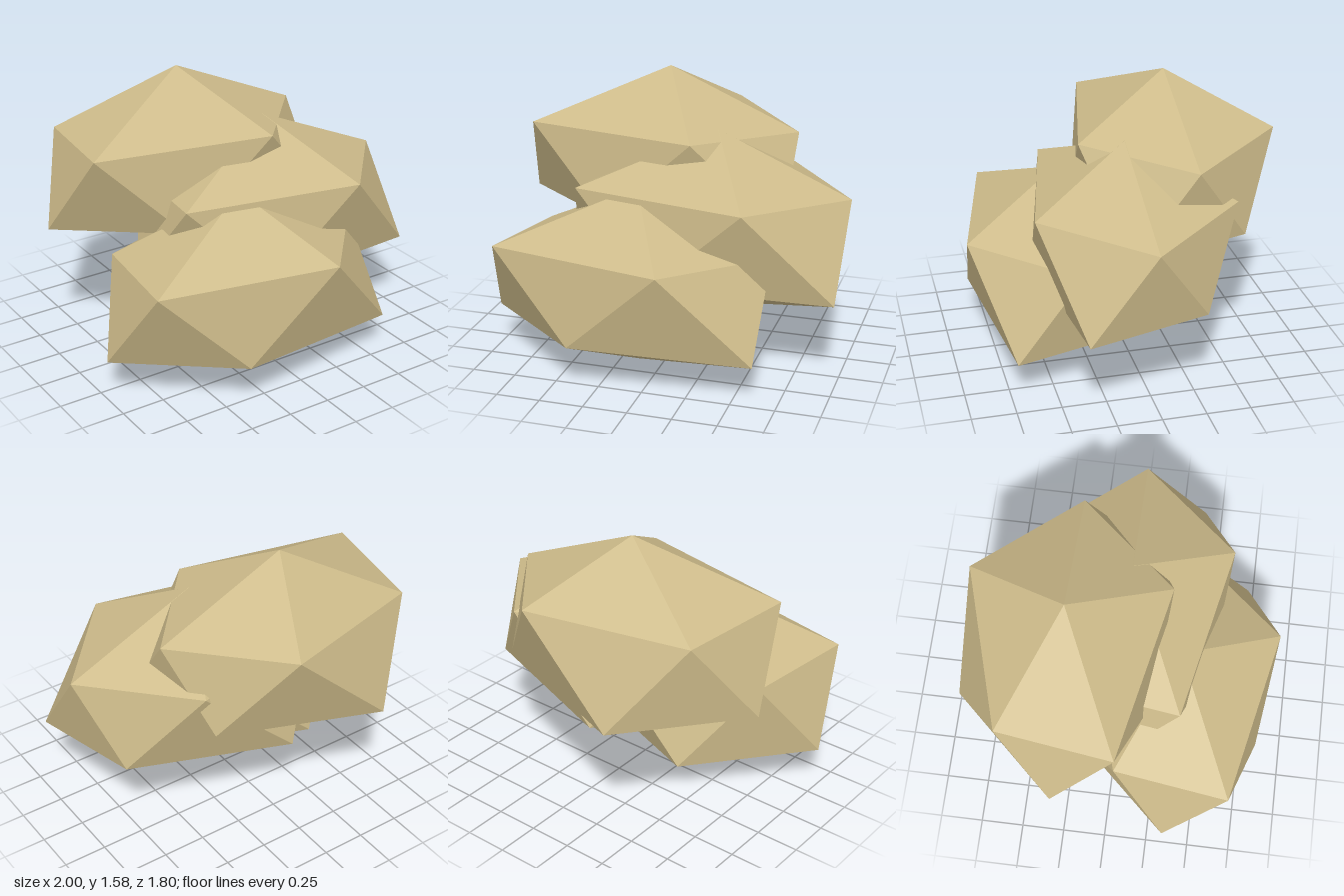
import * as THREE from 'three';

// One faceted boulder: two poles and two staggered rings of five corners.
function boulderGeometry() {
  const top = [0, 0.525, 0];
  const bottom = [0, -0.52, 0];
  const upper = [
    [0.77, 0.185, 0], [0.28, 0.22, 0.56], [-0.73, 0.22, 0.35],
    [-0.63, 0.185, -0.31], [0.28, 0.22, -0.575],
  ];
  const lower = [
    [0.76, -0.31, 0.37], [-0.25, -0.267, 0.5], [-0.85, -0.28, 0],
    [-0.29, -0.315, -0.6], [0.63, -0.263, -0.31],
  ];
  const points = [];
  for (let i = 0; i < 5; i++) {
    const j = (i + 1) % 5;
    points.push(top, upper[j], upper[i]);
    points.push(upper[i], upper[j], lower[i]);
    points.push(lower[i], upper[j], lower[j]);
    points.push(lower[i], lower[j], bottom);
  }
  const geometry = new THREE.BufferGeometry();
  geometry.setAttribute('position', new THREE.Float32BufferAttribute(points.flat(), 3));
  geometry.computeVertexNormals();
  return geometry;
}

export function createModel() {
  const group = new THREE.Group();
  group.name = 'rockPile';

  const sandstone = new THREE.MeshStandardMaterial({ color: 0xcdbb8a });
  sandstone.name = 'sandstone';

  // The same boulder stepped up from front to back
  const geometry = boulderGeometry();
  const places = {
    frontBoulder: [-0.15, 0.52, 0.34],
    middleBoulder: [0.225, 0.792, 0.02],
    backBoulder: [-0.15, 1.06, -0.3],
  };
  for (const [name, position] of Object.entries(places)) {
    const boulder = new THREE.Mesh(geometry, sandstone);
    boulder.name = name;
    boulder.position.set(...position);
    group.add(boulder);
  }
  return group;
}
